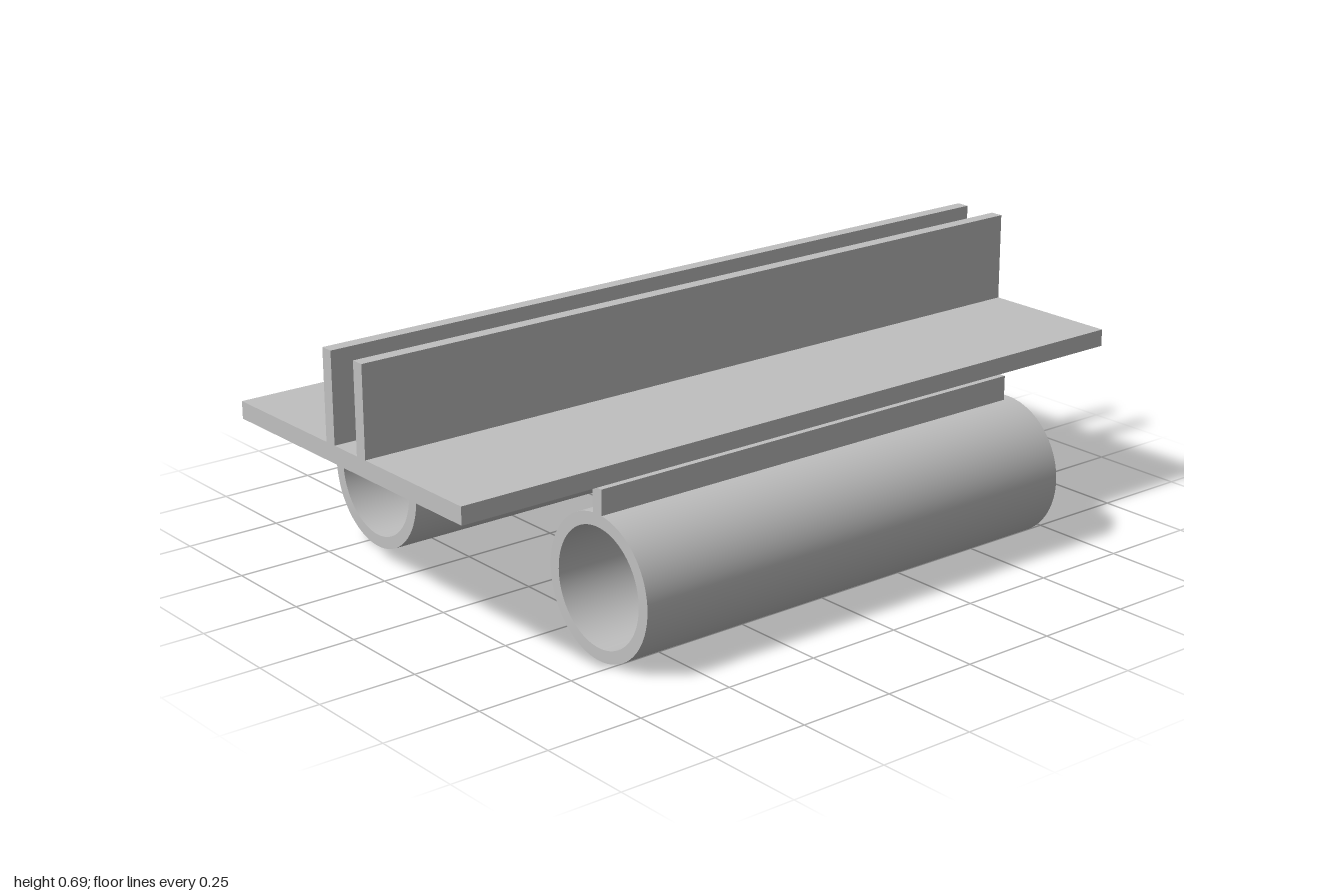
import * as THREE from 'three';
import { toCreasedNormals } from 'three/addons/utils/BufferGeometryUtils.js';

export function createModel() {
  const model = new THREE.Group();
  model.name = 'railCarriage';

  const steel = new THREE.MeshStandardMaterial({ color: 0xc0c0c0 });
  steel.name = 'plain grey steel';

  const add = (name, geometry, x, y, z) => {
    const mesh = new THREE.Mesh(geometry, steel);
    mesh.name = name;
    mesh.position.set(x, y, z);
    model.add(mesh);
  };

  // Rectangle traced counter-clockwise into a shape or path
  const rect = (path, x0, y0, x1, y1) =>
    path.moveTo(x0, y0).lineTo(x1, y0).lineTo(x1, y1).lineTo(x0, y1).closePath();

  const plateY = 0.418, plateTop = 0.462, railTop = 0.688;
  const halfDepth = 0.452, gap = 0.046;

  // Flat deck with two slots between the rails
  const deck = rect(new THREE.Shape(), -1, -halfDepth, 1, halfDepth);
  for (const [x0, x1] of [[-0.497, -0.214], [0.49, 0.775]]) {
    deck.holes.push(rect(new THREE.Path(), x0, -gap, x1, gap));
  }
  const deckGeometry = new THREE.ExtrudeGeometry(deck, { depth: plateTop - plateY, bevelEnabled: false });
  deckGeometry.rotateX(-Math.PI / 2);
  add('deckPlate', deckGeometry, 0, plateY, 0);

  // Tube profile: a closed wall section turned around its axis, then laid along x
  const outer = 0.178, inner = 0.147, x0 = -0.635, x1 = 0.66;
  const wall = [[inner, x0], [outer, x0], [outer, x1], [inner, x1], [inner, x0]]
    .map(([r, l]) => new THREE.Vector2(r, l));
  const tubeGeometry = toCreasedNormals(new THREE.LatheGeometry(wall, 72), Math.PI / 5);
  tubeGeometry.rotateZ(-Math.PI / 2);

  // Upright rails, and tubes hung on webs, mirrored front and back
  const webBottom = 0.35;
  for (const [side, s] of [['front', 1], ['back', -1]]) {
    add(side + 'Rail', new THREE.BoxGeometry(2, railTop - plateTop, 0.034),
      0, (railTop + plateTop) / 2, s * (gap + 0.017));
    add(side + 'Web', new THREE.BoxGeometry(1.267, plateY - webBottom, 0.032),
      -0.0015, (plateY + webBottom) / 2, s * halfDepth);
    add(side + 'Tube', tubeGeometry, 0, outer, s * halfDepth);
  }

  return model;
}
